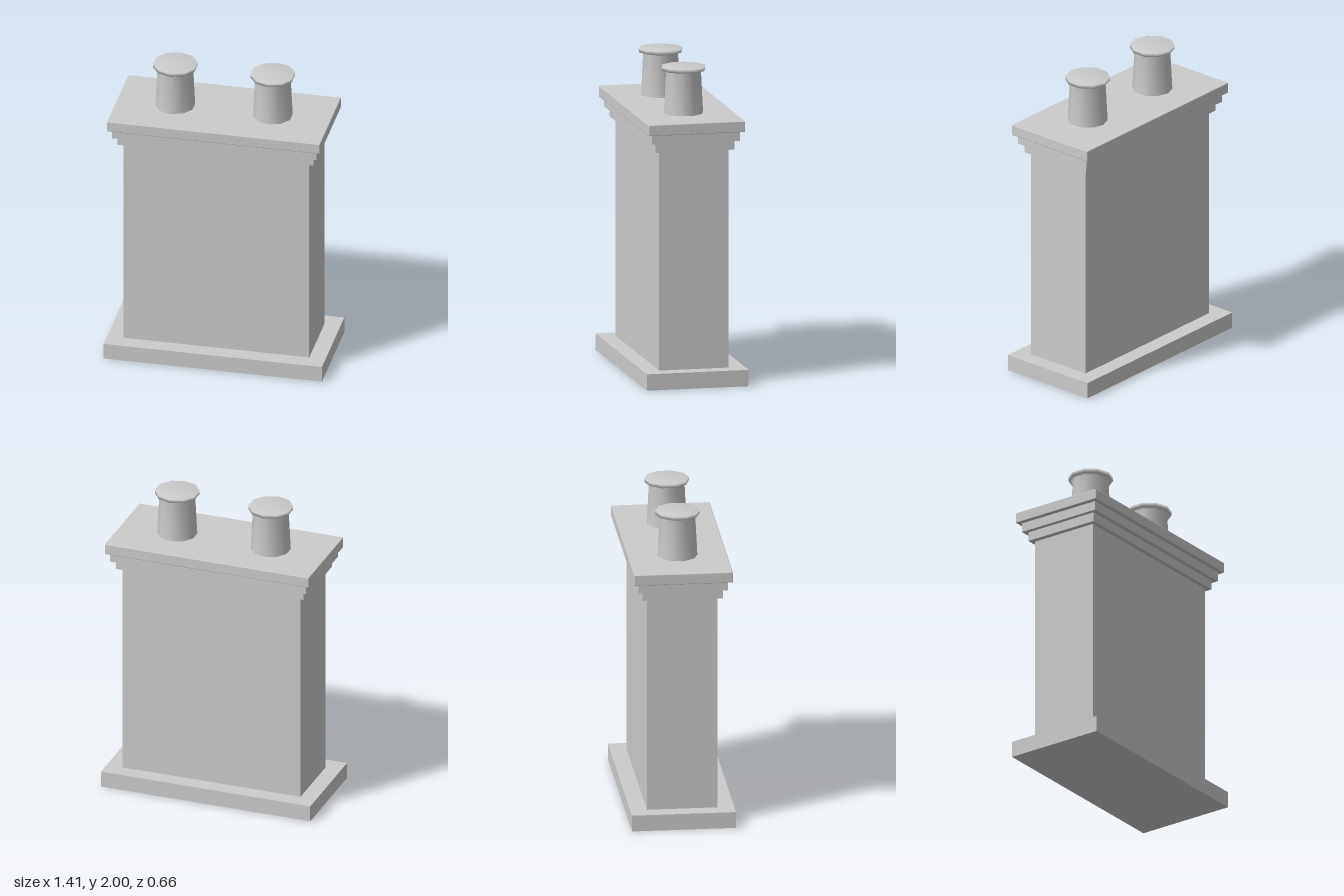
import * as THREE from 'three';
import { RoundedBoxGeometry } from 'three/addons/geometries/RoundedBoxGeometry.js';

export function createModel() {
  const model = new THREE.Group();
  model.name = 'chimney';
  const stone = new THREE.MeshStandardMaterial({ color: 0xcccccc });
  stone.name = 'light grey stone';

  const add = (name, geometry, x = 0, y = 0) => {
    const mesh = new THREE.Mesh(geometry, stone);
    mesh.name = name;
    mesh.position.set(x, y, 0);
    model.add(mesh);
  };

  // Plinth, shaft and the stepped courses: name, width, depth, bottom, top
  const blocks = [
    ['plinth', 1.41, 0.66, 0, 0.105],
    ['shaft', 1.2, 0.45, 0.105, 1.51],
    ['lowerCourse', 1.265, 0.51, 1.51, 1.57],
    ['upperCourse', 1.32, 0.57, 1.57, 1.63],
  ];
  for (const [name, w, d, y0, y1] of blocks) {
    add(name, new THREE.BoxGeometry(w, y1 - y0, d), 0, (y0 + y1) / 2);
  }

  // Cap slab with a fine bevel on its edges
  add('capSlab', new RoundedBoxGeometry(1.376, 0.07, 0.626, 1, 0.005), 0, 1.665);

  // Two tapered ten-sided pots with a rim, smoothly shaded up over the top
  const profile = [
    [0.127, 1.695], [0.113, 1.97], [0.14, 1.976], [0.142, 2], [0, 2],
  ].map(([r, y]) => new THREE.Vector2(r, y));
  const pot = new THREE.LatheGeometry(profile, 10);
  add('leftPot', pot, 0.315);
  add('rightPot', pot, -0.315);

  return model;
}
